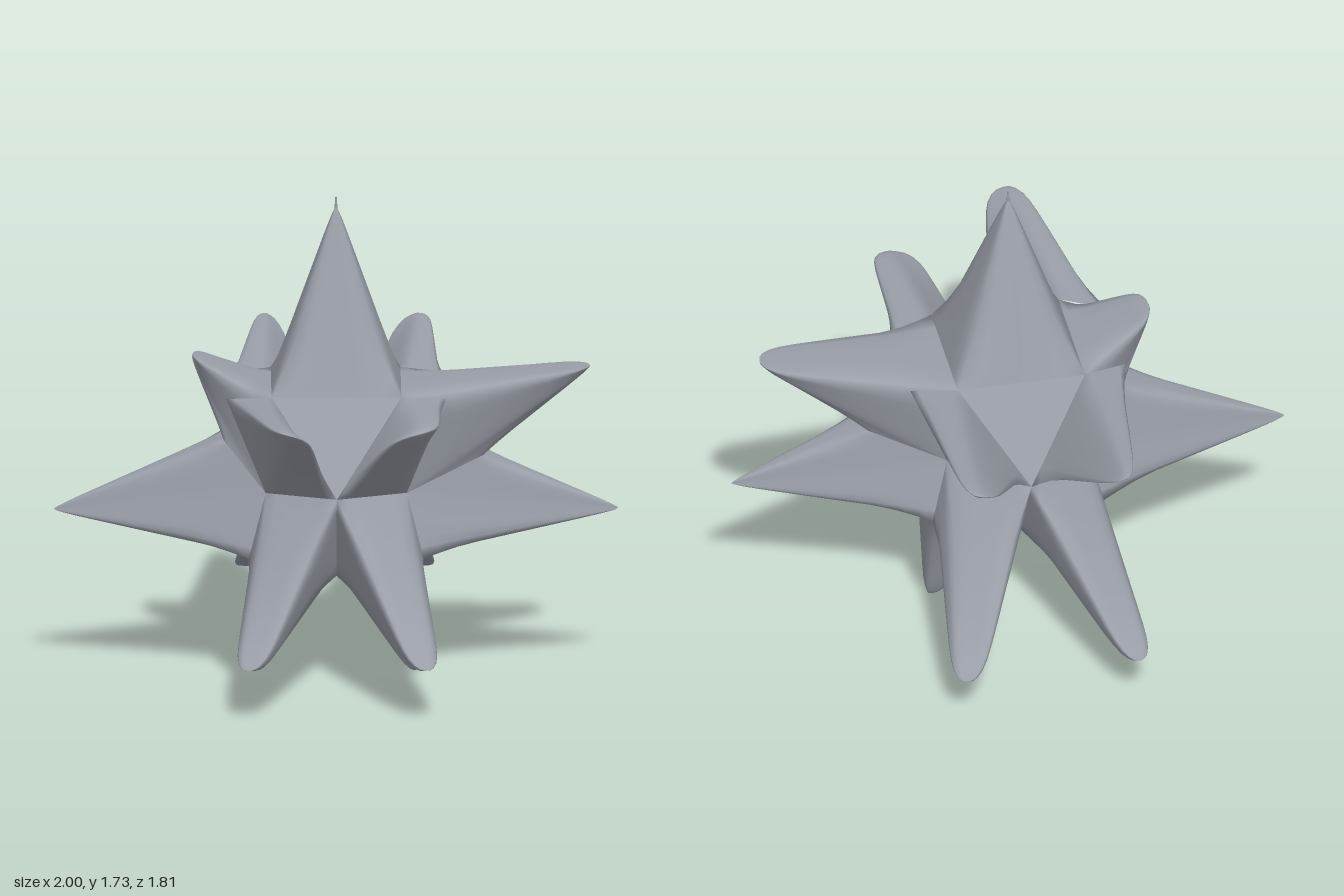
import * as THREE from 'three';
import { ConvexGeometry } from 'three/addons/geometries/ConvexGeometry.js';

const PER_EDGE = 6;
const STEPS = [0, 0.08, 0.18, 0.3, 0.42, 0.54, 0.66, 0.78, 0.87, 0.93, 0.97, 0.99, 1];
const v = (x, y, z) => new THREE.Vector3(x, y, z);

// Soft-edged spike rising from a polygon of valley points to a tip.
// blunt keeps part of the base width (per axis) close to the tip.
function spikeGeometry(corners, tip, blunt) {
  const ring = [];
  corners.forEach((c, i) => {
    const next = corners[(i + 1) % corners.length];
    for (let k = 0; k < PER_EDGE; k++) ring.push(c.clone().lerp(next, k / PER_EDGE));
  });
  const n = ring.length;
  const centre = v(0, 0, 0);
  ring.forEach((p) => centre.addScaledVector(p, 1 / n));

  // Keep the faces pointing outwards for mirrored spikes too
  const area = v(0, 0, 0);
  ring.forEach((p, i) => area.add(p.clone().sub(centre).cross(ring[(i + 1) % n].clone().sub(centre))));
  if (area.dot(tip.clone().sub(centre)) < 0) ring.reverse();

  // Rounded copy of the ring softens the ridges away from the valleys
  let soft = ring;
  for (let pass = 0; pass < 2; pass++) {
    soft = soft.map((p, i) => p.clone().multiplyScalar(2)
      .add(soft[(i + 1) % n]).add(soft[(i + n - 1) % n]).multiplyScalar(0.25));
  }

  const positions = [], index = [];
  STEPS.forEach((t, row) => {
    const mid = centre.clone().lerp(tip, t);
    const end = t * Math.sqrt(1 - Math.pow(t, 14));
    for (let i = 0; i < n; i++) {
      const d = ring[i].clone().lerp(soft[i], Math.min(1, t * 4)).sub(centre);
      positions.push(
        mid.x + d.x * (1 - t + end * blunt[0]),
        mid.y + d.y * (1 - t + end * blunt[1]),
        mid.z + d.z * (1 - t + end * blunt[2]));
      if (row === 0) continue;
      const j = (i + 1) % n, a = (row - 1) * n, b = row * n;
      index.push(a + i, a + j, b + j, a + i, b + j, b + i);
    }
  });
  const g = new THREE.BufferGeometry();
  g.setAttribute('position', new THREE.Float32BufferAttribute(positions, 3));
  g.setIndex(index);
  g.computeVertexNormals();
  return g;
}

export function createModel() {
  const model = new THREE.Group();
  model.name = 'spikedStar';
  const grey = new THREE.MeshStandardMaterial({ color: 0x9a9fa8 });
  grey.name = 'stoneGrey';
  const add = (name, geometry) => {
    const mesh = new THREE.Mesh(geometry, grey);
    mesh.name = name;
    model.add(mesh);
  };
  const spike = (name, corners, tip, blunt = [0.03, 0.03, 0.03]) =>
    add(name, spikeGeometry(corners, tip, blunt));

  // Valley points shared by neighbouring spikes; sx and sz choose the side
  const top = (sx, sz) => v(0.23 * sx, 1.05, 0.23 * sz);
  const topOuter = (sx, sz) => v(0.39 * sx, 1.03, 0.17 * sz);
  const face = (sz) => v(0, 0.72, 0.41 * sz);
  const waist = (sx, sz) => v(0.25 * sx, 0.68, 0.14 * sz);
  const side = (sx, sz) => (sx > 0 ? v(0.52, 0.8, 0.07 * sz) : v(-0.4, 0.86, 0.08 * sz));
  const base = (sx, sz) => v(0.31 * sx, 0.45, 0.18 * sz);
  const under = (sz) => v(0, 0.4, 0.23 * sz);

  // Core filling the space between the spikes
  const core = [];
  for (const sz of [1, -1]) core.push(face(sz), under(sz), top(1, sz), top(-1, sz));
  add('core', new ConvexGeometry(core));

  // Top spike with its fine needle
  spike('topSpike', [top(1, 1), top(1, -1), top(-1, -1), top(-1, 1)], v(0, 1.69, 0));
  const needle = new THREE.CylinderGeometry(0.003, 0.007, 0.07, 8);
  needle.translate(0, 1.69, 0);
  add('needle', needle);

  // Tips of the uneven upper spikes, keyed by side
  const upperTips = {
    '1,1': [v(0.29, 1.02, 0.67), [0.48, 0.12, 0.1]],
    '-1,1': [v(-0.17, 1.07, 0.9), [0.38, 0.1, 0.05]],
    '1,-1': [v(0.29, 1.08, -0.91), [0.32, 0.08, 0.05]],
    '-1,-1': [v(-0.24, 1.08, -0.91), [0.22, 0.08, 0.05]],
  };

  for (const sx of [1, -1]) {
    const s = sx > 0 ? 'left' : 'right';
    // Upper side spike, cut short on the right
    spike(s + 'UpperSpike',
      [top(sx, 1), waist(sx, 1), side(sx, 1), side(sx, -1), waist(sx, -1), top(sx, -1)],
      sx > 0 ? v(0.9, 1.11, 0) : v(-0.51, 1.15, 0),
      sx > 0 ? [0.02, 0.03, 0.36] : [0.05, 0.05, 0.4]);
    // Long side spike
    spike(s + 'SideSpike',
      [side(sx, 1), waist(sx, 1), base(sx, 1), base(sx, -1), waist(sx, -1), side(sx, -1)],
      v(sx, 0.59, 0));
    // Downward spike
    spike(s + 'FootSpike', [under(1), base(sx, 1), base(sx, -1), under(-1)],
      v(0.28 * sx, 0, 0), [0.15, 0.05, 0.08]);

    for (const sz of [1, -1]) {
      const f = sz > 0 ? 'Front' : 'Back';
      const [tip, blunt] = upperTips[sx + ',' + sz];
      spike(s + f + 'UpperSpike',
        [top(sx, sz), face(sz), waist(sx, sz), topOuter(sx, sz)], tip, blunt);
      spike(s + f + 'LowerSpike',
        [face(sz), waist(sx, sz), base(sx, sz), under(sz)],
        v(0.31 * sx, 0.19, 0.8 * sz), [0.36, 0.06, 0.1]);
    }
  }
  return model;
}
